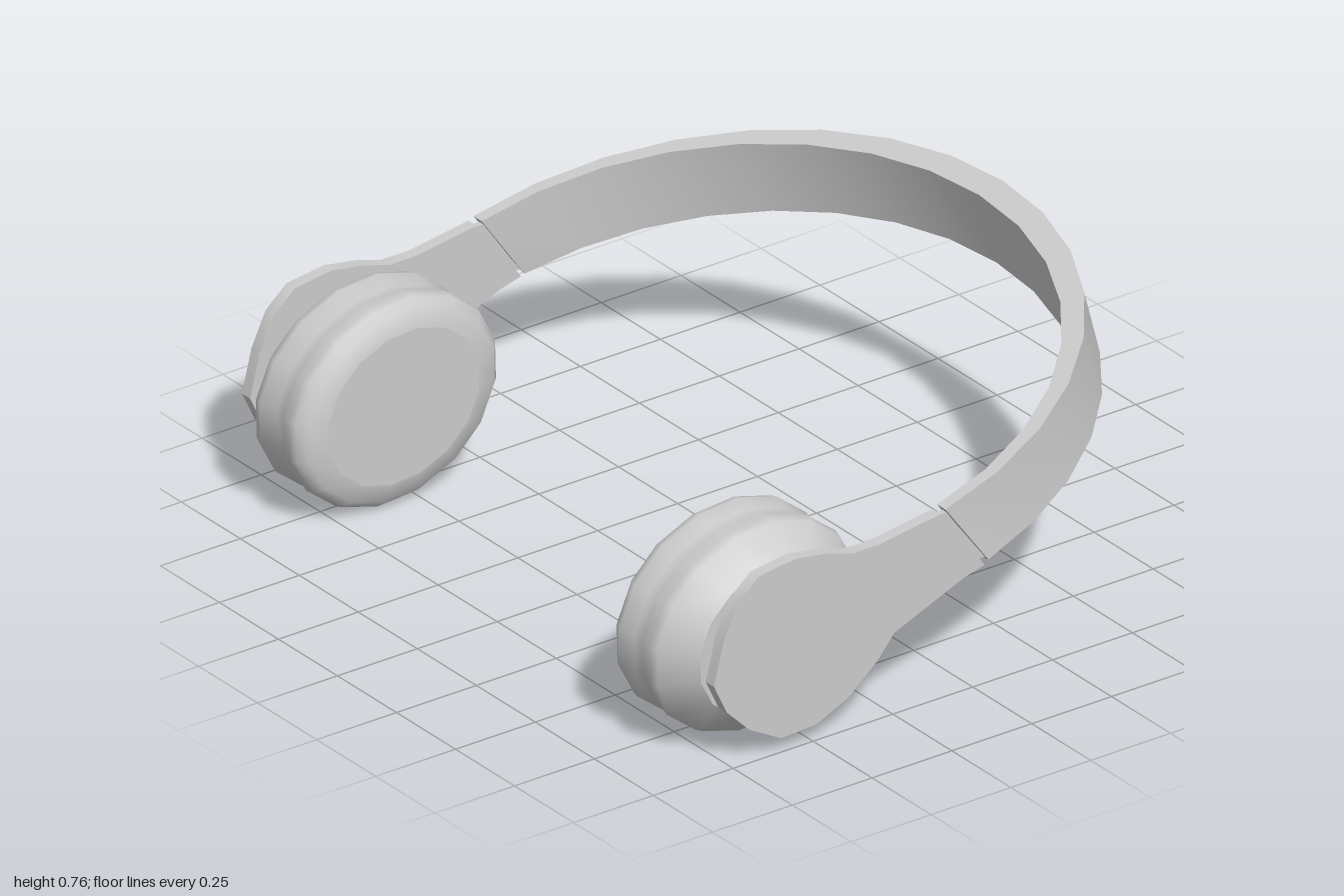
import * as THREE from 'three';
import { toCreasedNormals } from 'three/addons/utils/BufferGeometryUtils.js';

const material = new THREE.MeshStandardMaterial({ color: 0xcccccc });
const CUP = { y: 0.285, z: 0.565 };
const TILT = 0.25;

// Mesh with smooth normals and kept edges; mirrored across x = 0 when side is -1
function addPart(parent, name, geometry, crease, side = 1) {
  const g = geometry.index ? geometry.toNonIndexed() : geometry.clone();
  if (side < 0) {
    const p = g.attributes.position;
    for (let i = 0; i < p.count; i += 3) {
      const a = new THREE.Vector3().fromBufferAttribute(p, i + 1);
      const b = new THREE.Vector3().fromBufferAttribute(p, i + 2);
      p.setXYZ(i + 1, b.x, b.y, b.z);
      p.setXYZ(i + 2, a.x, a.y, a.z);
    }
    for (let i = 0; i < p.count; i++) p.setX(i, -p.getX(i));
  }
  const mesh = new THREE.Mesh(toCreasedNormals(g, crease), material);
  mesh.name = name;
  parent.add(mesh);
}

// Half-ellipse headband with a thicker crown, swept as four-cornered sections
function bandGeometry() {
  const segments = 16, positions = [], index = [];
  const corner = (f, inner, bottom) => {
    const start = bottom ? 0.092 : 0;
    const t = start + f * (Math.PI - 2 * start);
    const z = 0.085 - (inner ? 0.845 : 0.918) * Math.sin(t);
    const y = 0.53 + 0.2555 * (0.085 - z);
    positions.push((inner ? 0.965 : 1) * Math.cos(t), y - (bottom ? 0.207 : 0), z - (bottom ? 0.053 : 0));
  };
  for (let i = 0; i <= segments; i++) {
    const f = i / segments;
    corner(f, false, false);
    corner(f, false, true);
    corner(f, true, true);
    corner(f, true, false);
    if (i === segments) break;
    for (let j = 0; j < 4; j++) {
      const k = (j + 1) % 4, a = i * 4 + j, b = i * 4 + k;
      index.push(a, b, b + 4, a, b + 4, a + 4);
    }
  }
  const e = segments * 4;
  index.push(0, 2, 1, 0, 3, 2, e, e + 1, e + 2, e, e + 2, e + 3);
  const g = new THREE.BufferGeometry();
  g.setAttribute('position', new THREE.Float32BufferAttribute(positions, 3));
  g.setIndex(index);
  return g;
}

// Flat plate from a (z, y) outline, between two x positions
function plateGeometry(outline, xInner, xOuter) {
  const shape = new THREE.Shape(outline.map(([z, y]) => new THREE.Vector2(z, y)));
  const g = new THREE.ExtrudeGeometry(shape, { depth: xOuter - xInner, bevelEnabled: false });
  return g.rotateY(-Math.PI / 2).translate(xOuter, 0, 0);
}

// Oval turned part along x from a (relative radius, x) profile
function ovalGeometry(profile) {
  const g = new THREE.LatheGeometry(profile.map(([r, x]) => new THREE.Vector2(r, x)), 16);
  return g.rotateZ(-Math.PI / 2).scale(1, 0.283, 0.326).rotateX(TILT).translate(0, CUP.y, CUP.z);
}

export function createModel() {
  const model = new THREE.Group();
  model.name = 'headphones';
  addPart(model, 'headband', bandGeometry(), 0.6);

  const arm = plateGeometry([
    [0.81, 0.25], [0.78, 0.37], [0.735, 0.465], [0.67, 0.52], [0.555, 0.535], [0.46, 0.52],
    [0.375, 0.495], [0.29, 0.495], [0.1, 0.522], [-0.038, 0.336], [0.03, 0.318], [0.245, 0.23],
    [0.3, 0.165], [0.39, 0.09], [0.49, 0.045], [0.6, 0.04], [0.7, 0.095], [0.77, 0.165],
  ], 0.965, 1);
  const link = plateGeometry([[0.1, 0.515], [0.07, 0.515], [-0.05, 0.352], [-0.025, 0.352]], 0.972, 0.99);
  const hub = new THREE.CylinderGeometry(0.157, 0.157, 0.06, 24)
    .rotateZ(Math.PI / 2).translate(0.945, CUP.y, CUP.z);
  const cup = ovalGeometry([
    [0.73, 0.925], [0.98, 0.85], [1, 0.825], [0.95, 0.775], [0.96, 0.745],
    [1, 0.7], [0.985, 0.68], [0.91, 0.655], [0.74, 0.645],
  ].reverse());
  const padFace = ovalGeometry([[0, 0.645], [0.74, 0.645]]);
  const cupBack = ovalGeometry([[0.73, 0.925], [0, 0.925]]);

  // Left and right ear pieces
  for (const side of [1, -1]) {
    const ear = new THREE.Group();
    ear.name = side > 0 ? 'leftEarPiece' : 'rightEarPiece';
    addPart(ear, 'arm', arm, 0.6, side);
    addPart(ear, 'bandLink', link, 0.3, side);
    addPart(ear, 'hub', hub, 0.6, side);
    addPart(ear, 'earCup', cup, 1.1, side);
    addPart(ear, 'earPadFace', padFace, 0.3, side);
    addPart(ear, 'earCupBack', cupBack, 0.3, side);
    model.add(ear);
  }
  return model;
}
